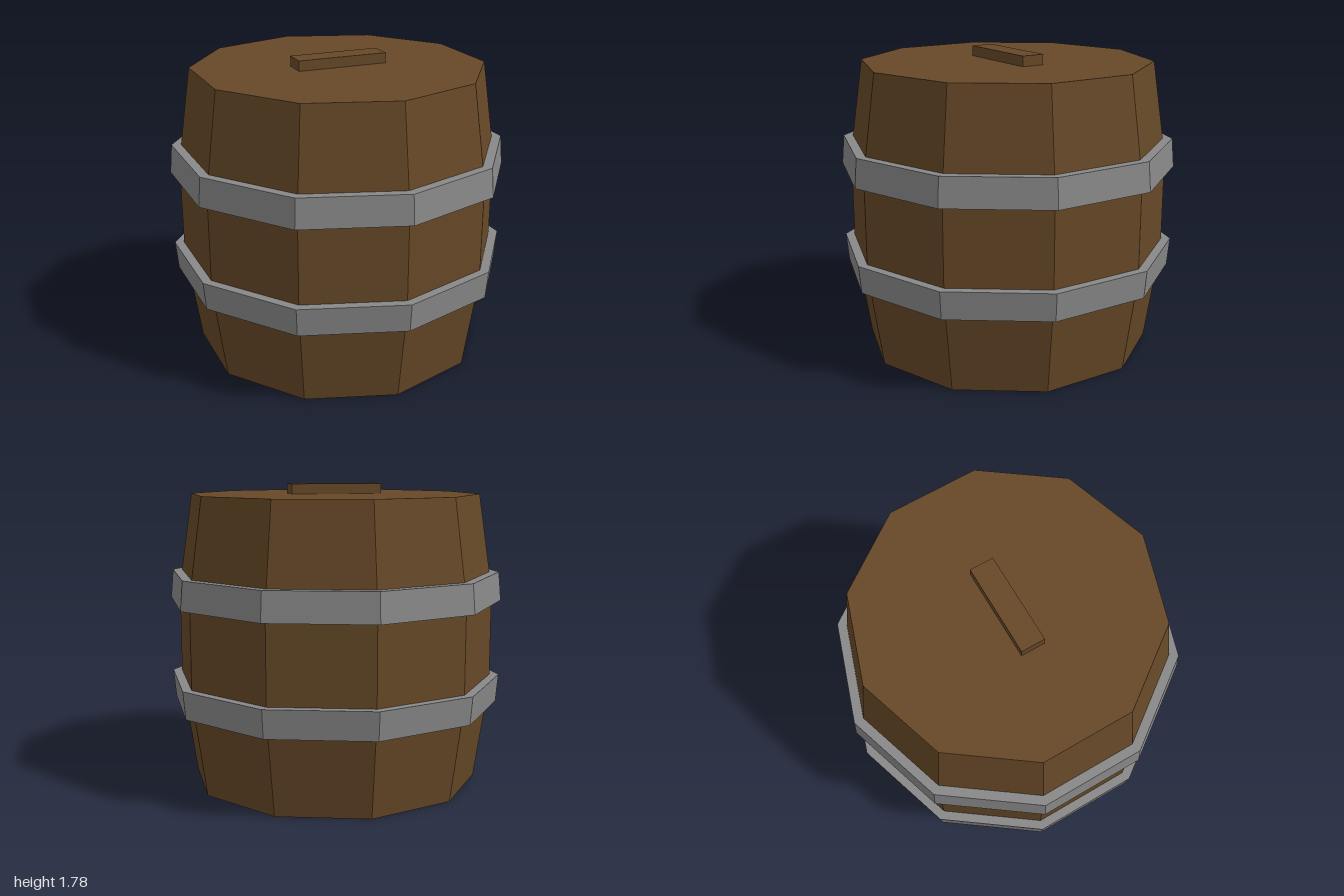
import * as THREE from 'three';

const SIDES = 10;

// Ten-sided turned part from [radius, height] pairs, listed bottom to top
function turned(name, profile, material) {
  const points = profile.map(([r, y]) => new THREE.Vector2(r, y));
  const mesh = new THREE.Mesh(new THREE.LatheGeometry(points, SIDES), material);
  mesh.name = name;
  return mesh;
}

export function createModel() {
  const wood = new THREE.MeshStandardMaterial({ color: 0x664827, flatShading: true });
  wood.name = 'wood';
  const iron = new THREE.MeshStandardMaterial({ color: 0x888888, flatShading: true });
  iron.name = 'iron';

  const barrel = new THREE.Group();
  barrel.name = 'barrel';

  // Staves with a straight belly, closed by lid and bottom
  barrel.add(turned('body', [
    [0, 0], [0.86, 0], [0.945, 0.57], [0.945, 1.15], [0.86, 1.72], [0, 1.72],
  ], wood));

  // Hoops, widest on the edge facing the belly
  barrel.add(turned('lowerHoop', [
    [0.91, 0.47], [0.985, 0.47], [1, 0.635], [0.91, 0.635],
  ], iron));
  barrel.add(turned('upperHoop', [
    [0.91, 1.09], [1, 1.09], [0.985, 1.26], [0.91, 1.26],
  ], iron));

  // Grip bar on the lid
  const handle = new THREE.Mesh(new THREE.BoxGeometry(0.54, 0.08, 0.14), wood);
  handle.name = 'lidHandle';
  handle.position.y = 1.74;
  barrel.add(handle);

  return barrel;
}
